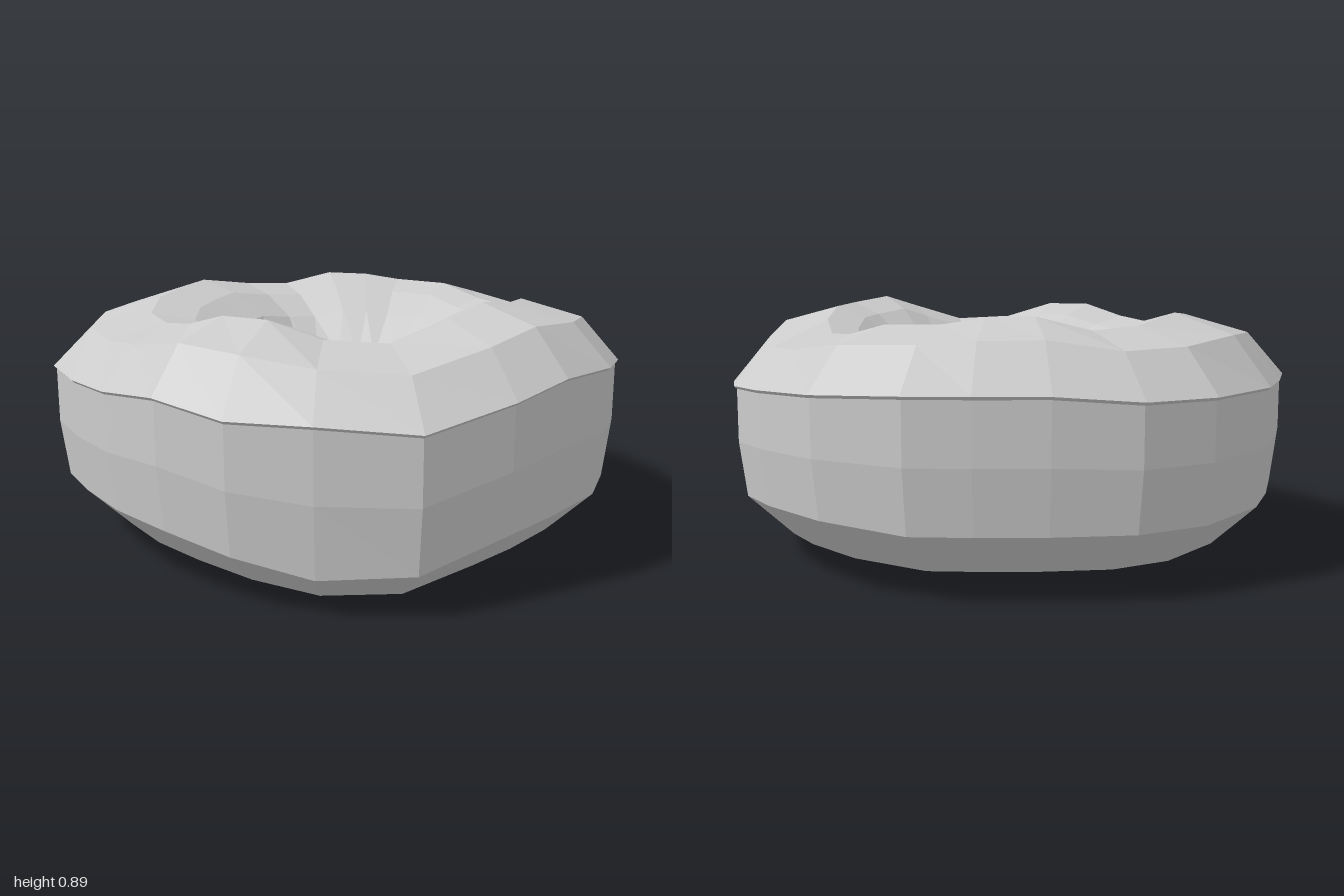
import * as THREE from 'three';

// One entry per side: angle in degrees from +x towards +z, then radius and heights
const angles = [0, 14, 30, 43, 61, 79, 95, 110, 125, 140, 155, 171, 186, 200, 220, 235, 251, 265, 277, 295, 312, 326, 341];
const outline = [1, 1.01, .995, 1, 1.025, .98, .975, .97, .97, .98, 1.025, 1.013, .985, 1, 1.015, 1, .955, .955, .988, 1.01, 1, 1, .995];
const crest = [.86, .87, .89, .85, .79, .8, .855, .855, .81, .79, .8, .83, .845, .855, .82, .81, .855, .85, .83, .825, .785, .78, .82];
const rim = [.66, .68, .69, .65, .59, .61, .61, .65, .63, .62, .62, .62, .62, .62, .62, .62, .64, .64, .64, .63, .62, .61, .6];
const low = [.24, .245, .24, .22, .15, .13, .18, .22, .23, .23, .22, .22, .22, .22, .22, .22, .22, .22, .22, .24, .24, .23, .22];
const SIDES = angles.length;
const rad = THREE.MathUtils.degToRad;

// A ring following the wobbly outline; shift moves it towards the hole's centre
function ring(r, height, shift = 0) {
  return angles.map((a, i) => [
    Math.cos(rad(a)) * r * outline[i] + shift,
    height(i),
    Math.sin(rad(a)) * r * outline[i] - shift * .2,
  ]);
}

// The narrow oval waist of the hole
function waist(y, grow = 0) {
  return angles.map(a => [
    .04 + Math.cos(rad(a)) * (.275 + grow),
    y,
    -.015 + Math.sin(rad(a)) * (.19 + grow),
  ]);
}

// Skin a list of rings
function loft(name, rings, material) {
  const index = [];
  for (let j = 0; j < rings.length - 1; j++) {
    for (let i = 0; i < SIDES; i++) {
      const a = j * SIDES + i, b = j * SIDES + (i + 1) % SIDES;
      const c = a + SIDES, d = b + SIDES;
      index.push(a, b, c, b, d, c);
    }
  }
  const geometry = new THREE.BufferGeometry();
  geometry.setAttribute('position', new THREE.Float32BufferAttribute(rings.flat(2), 3));
  geometry.setIndex(index);
  geometry.computeVertexNormals();
  const mesh = new THREE.Mesh(geometry, material);
  mesh.name = name;
  return mesh;
}

export function createModel() {
  const group = new THREE.Group();
  group.name = 'doughnut';
  const material = new THREE.MeshStandardMaterial({ color: 0xcccccc, flatShading: true, side: THREE.DoubleSide });

  // Glaze: from the waist up over the crest and down to a thin lip
  group.add(loft('glaze', [
    waist(.42),
    waist(.58, .03),
    ring(.41, i => crest[i] * .6 + .22, .04),
    ring(.53, i => crest[i] * .8 + .13, .02),
    ring(.66, i => crest[i]),
    ring(.87, i => crest[i] * .6 + rim[i] * .4 + .025),
    ring(1, i => rim[i]),
    ring(.99, i => rim[i] - .01),
  ], material));

  // Dough: outer wall, rounded underside and the flared lower hole
  group.add(loft('dough', [
    ring(.99, i => rim[i] - .01),
    ring(.99, i => (rim[i] + low[i]) / 2),
    ring(.965, i => low[i]),
    ring(.81, i => .075 + (low[i] - .22) * .65),
    ring(.6, i => .023 + (low[i] - .22) * .25),
    ring(.41, () => .08, .03),
    waist(.26, .045),
    waist(.42),
  ], material));

  return group;
}
